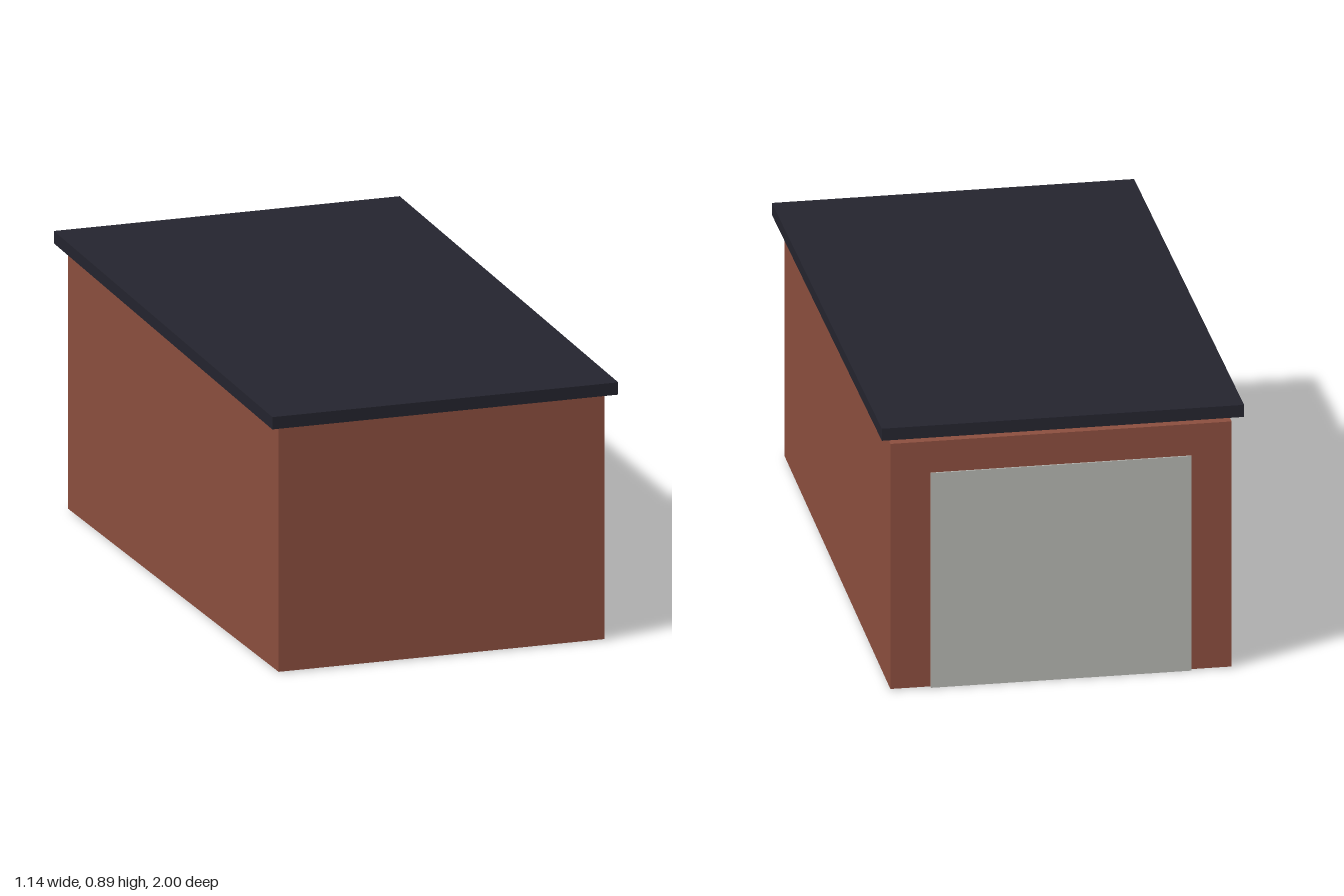
import * as THREE from 'three';

const brick = new THREE.MeshStandardMaterial({ color: 0x8b4e3e });
brick.name = 'brick red';
const roofing = new THREE.MeshStandardMaterial({ color: 0x24242e });
roofing.name = 'dark slate';
const metal = new THREE.MeshStandardMaterial({ color: 0xb4b5b0 });
metal.name = 'light grey';

function box(name, material, size, position) {
  const mesh = new THREE.Mesh(new THREE.BoxGeometry(...size), material);
  mesh.name = name;
  mesh.position.set(...position);
  return mesh;
}

export function createModel() {
  const garage = new THREE.Group();
  garage.name = 'garage';

  // Brick body, its top buried in the roof toward the front
  const base = 0.003, top = 0.825;
  garage.add(box('walls', brick, [1.074, top - base, 1.928], [0, (top + base) / 2, 0.001]));

  // Overhanging roof slab, falling toward the front
  const slope = Math.atan(0.0545 / 2);
  const roof = box('roof', roofing, [1.14, 0.04, 1.999], [0, 0.8455, 0]);
  roof.rotation.x = slope;
  garage.add(roof);

  // Thin garage door on the back wall
  garage.add(box('garageDoor', metal, [0.82, 0.72, 0.008], [0, 0.36, -0.964]));

  return garage;
}
